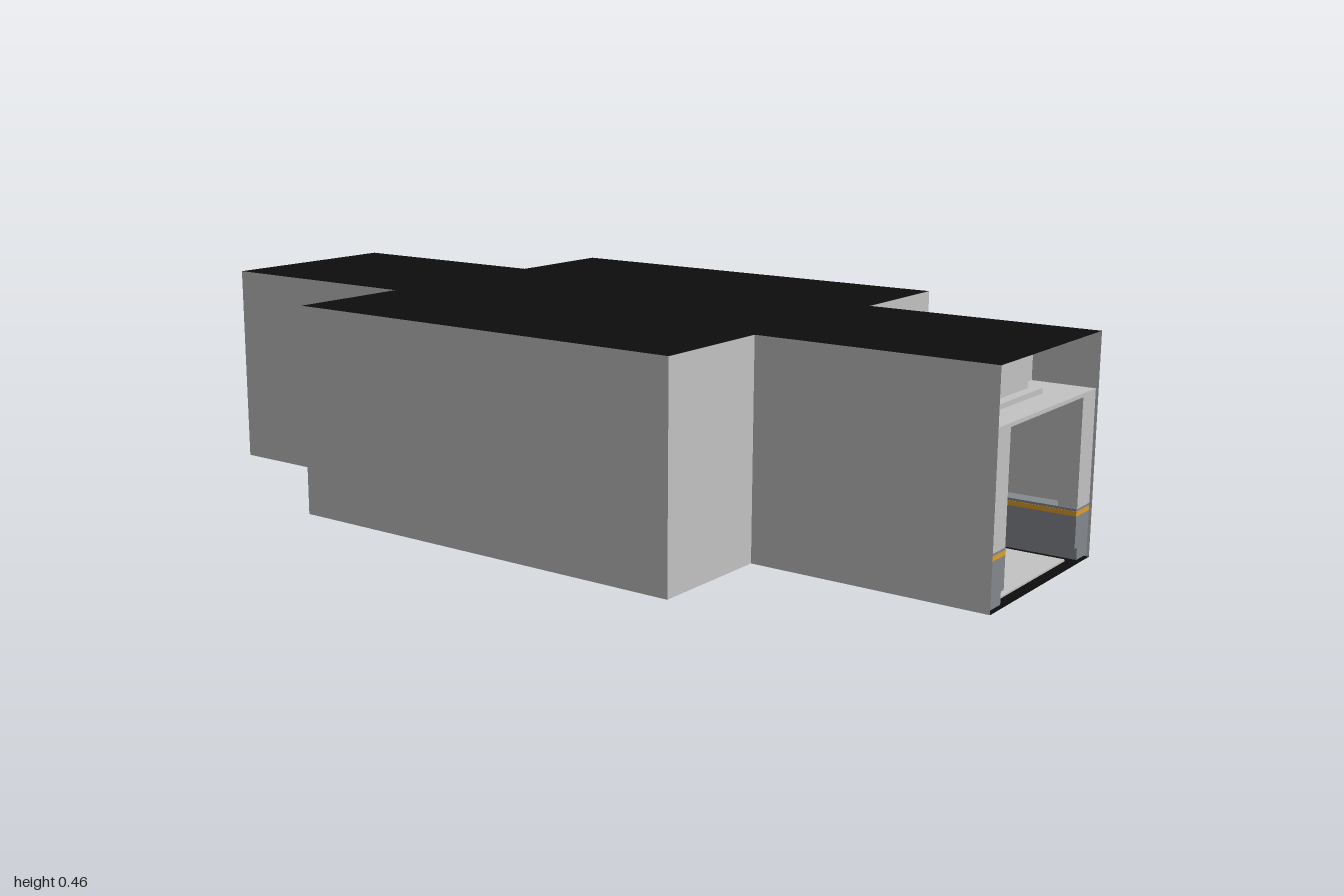
import * as THREE from 'three';

const mat = (name, color, side = THREE.FrontSide) => {
  const m = new THREE.MeshStandardMaterial({ color, side });
  m.name = name;
  return m;
};

export function createModel() {
  const wallGrey = mat('wall grey', 0xc4c4c4, THREE.DoubleSide);
  const black = mat('roof black', 0x0d0d0d, THREE.DoubleSide);
  const steel = mat('steel grey', 0x858a8f);
  const gold = mat('gold trim', 0xe0a02c);

  const model = new THREE.Group();
  model.name = 'corridorJunction';
  const H = 0.46, XL = -0.217, XR = 0.232, ZF = 0.485, ZB = -0.48, XO = 0.5;
  const midX = (XL + XR) / 2, width = XR - XL;

  const add = (parent, name, geo, material) => {
    const m = new THREE.Mesh(geo, material);
    m.name = name;
    parent.add(m);
    return m;
  };
  // box given by its minimum and maximum corners
  const box = (parent, name, material, x0, x1, y0, y1, z0, z1) => {
    const m = add(parent, name, new THREE.BoxGeometry(x1 - x0, y1 - y0, z1 - z0), material);
    m.position.set((x0 + x1) / 2, (y0 + y1) / 2, (z0 + z1) / 2);
    return m;
  };

  // cross-shaped plan; the two corridor ends stay open
  const plan = [
    [XR, 1], [XR, ZF], [XO, ZF], [XO, ZB], [XR, ZB], [XR, -1],
    [XL, -1], [XL, ZB], [-XO, ZB], [-XO, ZF], [XL, ZF], [XL, 1],
  ];
  const shape = new THREE.Shape(plan.map(([x, z]) => new THREE.Vector2(x, z)));
  const slab = new THREE.ShapeGeometry(shape).rotateX(Math.PI / 2);
  add(model, 'roof', slab, black).position.y = H;
  add(model, 'base', slab, black);

  // outer walls
  for (let i = 0; i < plan.length - 1; i++) {
    if (i === 5) continue;
    const [ax, az] = plan[i], [bx, bz] = plan[i + 1];
    const w = add(model, 'outerWall', new THREE.PlaneGeometry(Math.hypot(bx - ax, bz - az), H), wallGrey);
    w.position.set((ax + bx) / 2, H / 2, (az + bz) / 2);
    w.rotation.y = Math.atan2(az - bz, bx - ax);
  }

  // inner floor plates
  box(model, 'corridorFloor', wallGrey, -0.165, 0.17, 0.001, 0.005, -0.975, 0.975);
  for (const [x0, x1] of [[-0.45, -0.165], [0.17, 0.45]])
    box(model, 'roomFloor', wallGrey, x0, x1, 0.001, 0.005, ZB + 0.05, ZF - 0.05);

  // wall lining, built along x and facing +z
  function wallLining(length, x, z, turn, ribs) {
    const g = new THREE.Group();
    g.name = 'wallLining';
    const a = -length / 2, b = length / 2;
    box(g, 'skirting', steel, a, b, 0.005, 0.03, 0.002, 0.052);
    box(g, 'lowerPanel', steel, a, b, 0.03, 0.097, 0.002, 0.064);
    box(g, 'goldStrip', gold, a, b, 0.097, 0.107, 0.002, 0.065);
    box(g, 'panelCap', steel, a, b, 0.107, 0.112, 0.002, 0.064);
    box(g, 'upperPanel', wallGrey, a, b, 0.112, 0.34, 0.002, 0.025);
    for (let i = 0; i < ribs; i++) {
      const c = a + 0.02 + (i * (length - 0.04)) / (ribs - 1);
      box(g, 'rib', wallGrey, c - 0.02, c + 0.02, 0.112, 0.34, 0.025, 0.062);
    }
    g.position.set(x, 0, z);
    g.rotation.y = turn;
    model.add(g);
  }
  const q = Math.PI / 2;
  for (const [z0, z1] of [[ZF, 0.995], [-0.995, ZB]]) {
    wallLining(z1 - z0, XL, (z0 + z1) / 2, q, 3);
    wallLining(z1 - z0, XR, (z0 + z1) / 2, -q, 3);
  }
  wallLining(ZF - ZB - 0.01, -XO, (ZF + ZB) / 2, q, 5);
  wallLining(ZF - ZB - 0.01, XO, (ZF + ZB) / 2, -q, 5);
  for (const x of [(XL - XO) / 2, (XR + XO) / 2]) {
    wallLining(0.24, x, ZF, Math.PI, 2);
    wallLining(0.24, x, ZB, 0, 2);
  }

  // small handle on the lower panel
  box(model, 'handle', steel, -0.155, -0.13, 0.035, 0.043, 0.7, 0.74);

  // dropped ceiling: thin tray with a raised duct and side casings
  box(model, 'ceilingTray', wallGrey, XL + 0.002, XR - 0.002, 0.337, 0.345, -0.995, 0.995);
  box(model, 'ceilingDuct', wallGrey, -0.09, 0.1, 0.345, 0.422, -0.91, 0.91);
  for (const [x0, x1] of [[XL + 0.002, -0.093], [0.103, XR - 0.002]])
    box(model, 'ceilingCasing', wallGrey, x0, x1, 0.345, 0.42, -0.86, 0.86);
  for (const s of [-1, 1])
    box(model, 'ductLip', wallGrey, -0.108, 0.12, 0.345, 0.356, s * 0.92 - 0.012, s * 0.92 + 0.012);
  for (let i = 0; i < 4; i++) {
    const z = -0.72 + i * 0.48;
    box(model, 'ceilingPanel', steel, midX - width * 0.2, midX + width * 0.2, 0.334, 0.337, z - 0.16, z + 0.16);
  }
  return model;
}
